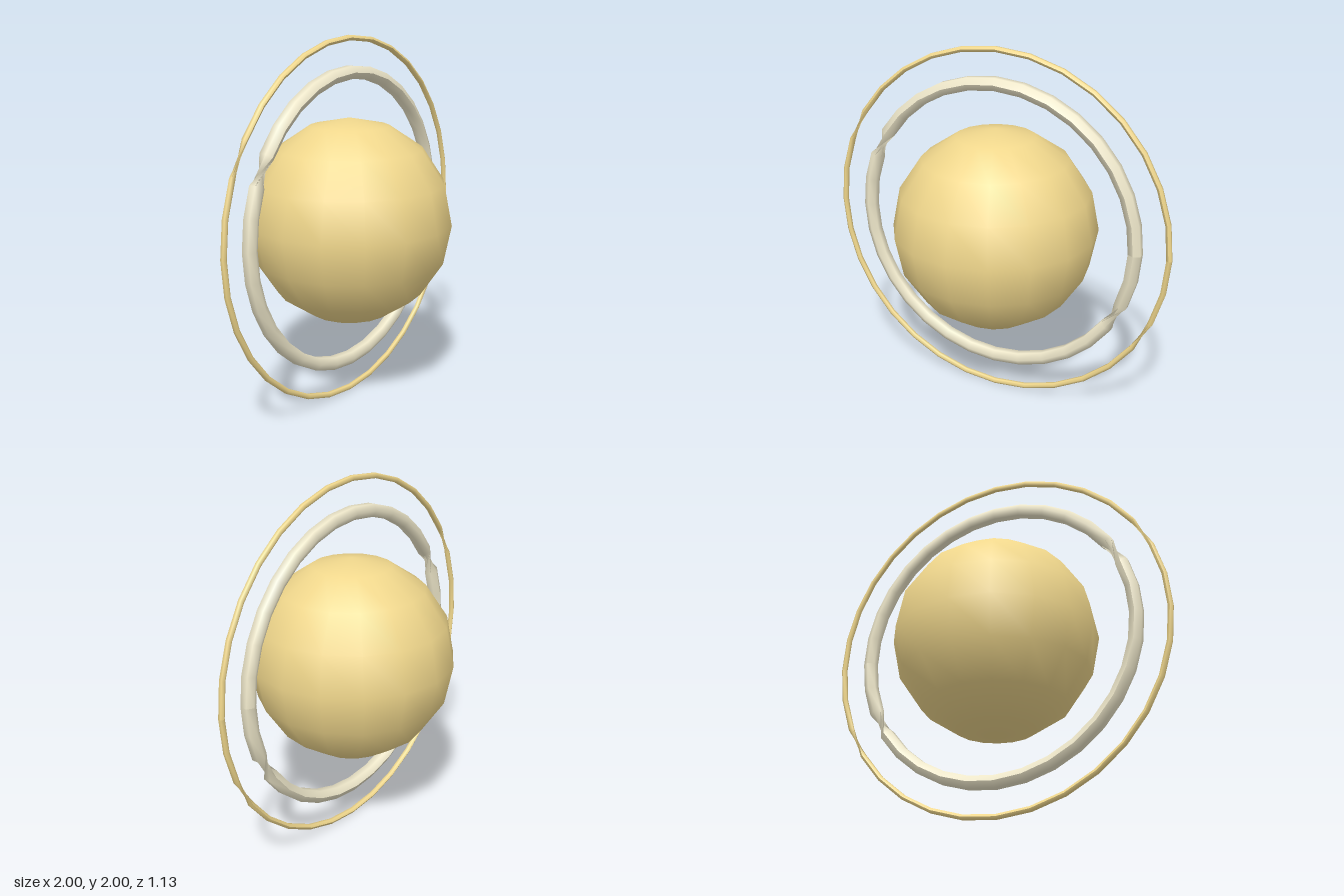
import * as THREE from 'three';

const SIDES = 6, STEPS = 32;

function material(color) {
  return new THREE.MeshStandardMaterial({ color, side: THREE.DoubleSide });
}

// Hexagonal tube ring whose section turns half a revolution at two opposite spots
function ring(name, radius, tube, color) {
  const geo = new THREE.TorusGeometry(radius, tube, SIDES, STEPS);
  const pos = geo.attributes.position;
  for (let j = 0, k = 0; j <= SIDES; j++) {
    for (let i = 0; i <= STEPS; i++, k++) {
      const flip = i >= 14 && i <= 29 ? Math.PI : 0;
      const u = (i / STEPS) * Math.PI * 2;
      const v = (j / SIDES) * Math.PI * 2 + Math.PI / 2 + flip;
      const r = radius + tube * Math.cos(v);
      pos.setXYZ(k, r * Math.cos(u), r * Math.sin(u), tube * Math.sin(v));
    }
  }
  geo.computeVertexNormals();
  const mesh = new THREE.Mesh(geo, material(color));
  mesh.name = name;
  mesh.position.y = 1;
  return mesh;
}

export function createModel() {
  const group = new THREE.Group();
  group.name = 'ringedPlanet';

  // Planet ball
  const planet = new THREE.Mesh(
    new THREE.SphereGeometry(0.565, 16, 8),
    new THREE.MeshStandardMaterial({ color: 0xf0d78c })
  );
  planet.name = 'planet';
  planet.position.y = 1;
  group.add(planet);

  // Two upright concentric rings
  group.add(ring('innerRing', 0.805, 0.04, 0xece5c8));
  group.add(ring('outerRing', 0.986, 0.016, 0xf0d78c));
  return group;
}
